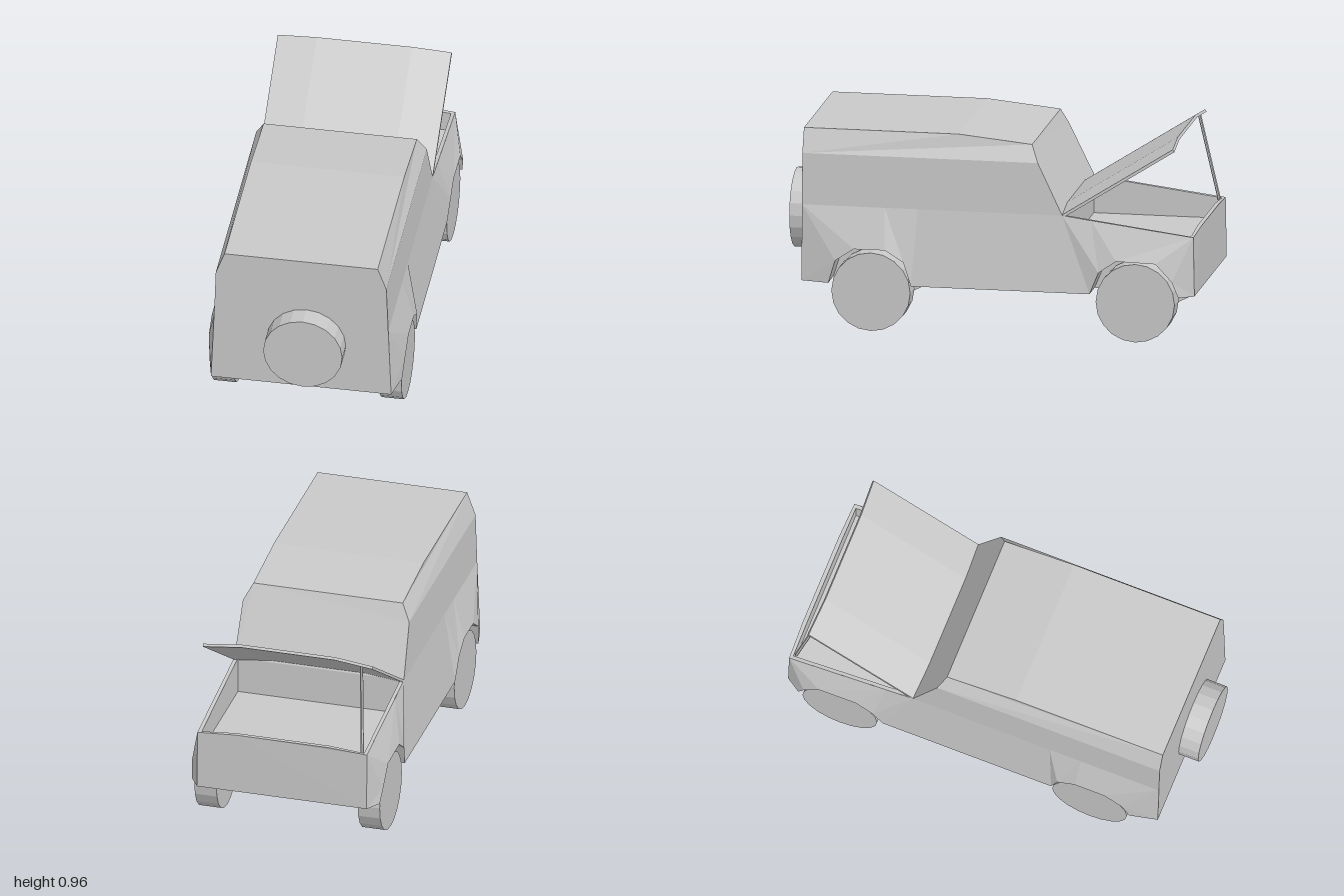
import * as THREE from 'three';

const paint = new THREE.MeshStandardMaterial({ color: 0xc8c8c8, flatShading: true, side: THREE.DoubleSide });
paint.name = 'plainGrey';

const flip = ([x, y, z]) => [-x, y, z];
const mirrored = (polys) => [...polys, ...polys.map((p) => p.map(flip).reverse())];
// closes a half outline across x = 0
const across = (half) => [...half, ...half.map(flip).reverse()];

// mesh from convex polygons, each cut into a fan
function panels(name, polys) {
  const pos = [];
  for (const p of polys)
    for (let i = 1; i < p.length - 1; i++) pos.push(...p[0], ...p[i], ...p[i + 1]);
  const g = new THREE.BufferGeometry();
  g.setAttribute('position', new THREE.Float32BufferAttribute(pos, 3));
  g.computeVertexNormals();
  return part(name, g);
}

function part(name, geometry) {
  const m = new THREE.Mesh(geometry, paint);
  m.name = name;
  return m;
}

// cylinder between two points
function rod(name, a, b, r, sides) {
  const va = new THREE.Vector3(...a), vb = new THREE.Vector3(...b);
  const d = vb.clone().sub(va);
  const m = part(name, new THREE.CylinderGeometry(r, r, d.length(), sides));
  m.position.copy(va).add(vb).multiplyScalar(0.5);
  m.quaternion.setFromUnitVectors(new THREE.Vector3(0, 1, 0), d.normalize());
  return m;
}

export function createModel() {
  const car = new THREE.Group();
  car.name = 'offRoadCar';
  const yb = 0.232;

  // wheel arch outlines, from the tail towards the nose
  const archR = [[0.465, yb, 0.765], [0.475, 0.345, 0.73], [0.475, 0.405, 0.64],
    [0.475, 0.405, 0.49], [0.475, 0.35, 0.4], [0.465, yb, 0.365]];
  const archF = [[0.465, yb, -0.5], [0.475, 0.34, -0.545], [0.475, 0.4, -0.63],
    [0.475, 0.395, -0.82], [0.475, 0.31, -0.9], [0.465, yb, -0.93]];
  const [A, B, C, D, E, F] = archR;
  const [G, H, I, J, K, L] = archF;

  // corners of the body
  const tail = [0.435, yb, 0.9], nose = [0.42, yb, -1], noseTop = [0.42, 0.52, -0.995];
  const belt0 = [0.42, 0.6, 0.9], belt1 = [0.42, 0.6, 0.5], belt2 = [0.42, 0.6, 0.34];
  const belt3 = [0.42, 0.6, -0.36], belt4 = [0.42, 0.582, -0.5];
  const eave0 = [0.412, 0.85, 0.9], eave1 = [0.412, 0.85, -0.24];
  const roof0 = [0.37, 0.965, 0.9], roof1 = [0.37, 0.965, 0.15], roof2 = [0.37, 0.93, -0.205];

  // flared lower sides
  car.add(panels('lowerSides', mirrored([
    [tail, A, B], [tail, B, belt0], [B, C, belt0], [C, D, belt1, belt0], [D, E, belt1],
    [E, belt2, belt1], [E, F, belt2], [F, G, belt3, belt2],
    [G, H, belt3], [H, belt4, belt3], [H, I, belt4], [I, J, noseTop, belt4],
    [J, K, noseTop], [K, nose, noseTop], [K, L, nose],
  ])));

  // cabin
  car.add(panels('cabinSides', mirrored([
    [belt0, belt3, eave1, eave0], [eave0, eave1, roof2, roof1, roof0],
  ])));
  car.add(panels('roof', [across([roof0, roof1]), across([roof1, roof2])]));
  car.add(panels('windscreen', [across([roof2, eave1, belt3])]));
  car.add(panels('rearPlate', [across([tail, belt0, eave0, roof0])]));

  // nose plate with slightly crowned top
  const crown = [0.23, 0.535, -1];
  car.add(panels('nosePlate', [across([crown, noseTop, nose])]));

  // underside and wheel wells
  const inner = (p) => [0.33, p[1], p[2]];
  const under = [];
  for (const [a, b] of [[tail, A], [F, G], [L, nose]]) under.push([a, inner(a), inner(b), b]);
  car.add(panels('floor', [...mirrored(under), across([inner(nose), inner(tail)])]));
  const wells = [];
  for (const arch of [archR, archF]) {
    for (let i = 0; i < 5; i++)
      wells.push([arch[i], inner(arch[i]), inner(arch[i + 1]), arch[i + 1]]);
    wells.push(arch.map(inner));
  }
  car.add(panels('wheelWells', mirrored(wells)));

  // open engine bay
  const fl = 0.42, xi = 0.402;
  const backTop = [xi, 0.6, -0.36], backLow = [xi, fl, -0.36];
  const frontTop = [xi, 0.52, -0.98], frontLow = [xi, fl, -0.98], crownIn = [0.23, 0.535, -0.98];
  car.add(panels('engineBay', [
    across([backLow, frontLow]),
    across([backTop, backLow]),
    across([frontLow, frontTop, crownIn]),
    across([crownIn, crown]),
    ...mirrored([
      [frontLow, backLow, backTop, frontTop],
      [belt3, noseTop, frontTop, backTop],
      [noseTop, crown, crownIn, frontTop],
    ]),
  ]));

  // raised bonnet, a crowned sheet hinged under the windscreen
  const top = [[-0.42, 0], [-0.23, 0.02], [0.23, 0.02], [0.42, 0]];
  const outline = [...top, ...top.map(([x, y]) => [x, y - 0.014]).reverse()];
  const sheet = new THREE.ExtrudeGeometry(
    new THREE.Shape(outline.map(([x, y]) => new THREE.Vector2(x, y))),
    { depth: 0.635, bevelEnabled: false });
  sheet.translate(0, 0, -0.635);
  const bonnet = part('bonnet', sheet);
  bonnet.position.set(0, 0.604, -0.36);
  bonnet.rotation.x = 0.569;
  car.add(bonnet);
  car.add(rod('bonnetProp', [-0.39, 0.515, -0.97], [-0.36, 0.93, -0.88], 0.008, 6));

  // wheels and axles
  for (const [end, z] of [['rear', 0.56], ['front', -0.72]]) {
    for (const s of [-1, 1])
      car.add(rod(end + 'Wheel', [s * 0.35, 0.195, z], [s * 0.459, 0.195, z], 0.191, 20));
    car.add(rod(end + 'Axle', [-0.36, 0.195, z], [0.36, 0.195, z], 0.05, 8));
  }
  car.add(rod('spareWheel', [0.025, 0.492, 0.89], [0.025, 0.492, 1], 0.191, 20));
  return car;
}
